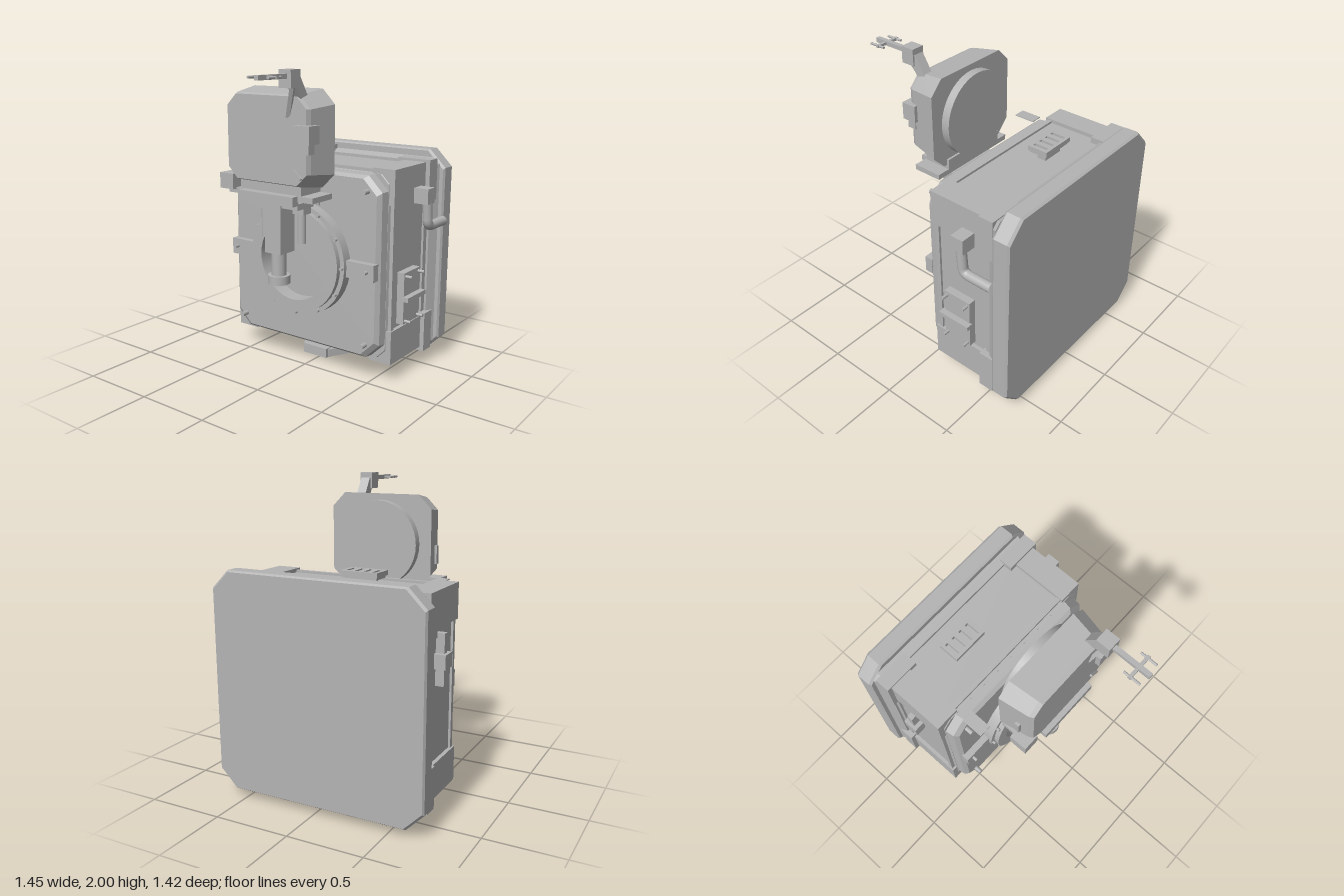
import * as THREE from 'three';

export function createModel() {
  const root = new THREE.Group();
  const metal = new THREE.MeshStandardMaterial({ color: 0xb4b4b4 });
  metal.name = 'grey metal';
  const CX = -0.02; // shared centre line of the body and head

  const add = (name, geo) => {
    const m = new THREE.Mesh(geo, metal);
    m.name = name;
    root.add(m);
    return m;
  };
  // box given by its extents
  const box = (name, x0, x1, y0, y1, z0, z1) => {
    const m = add(name, new THREE.BoxGeometry(x1 - x0, y1 - y0, z1 - z0));
    m.position.set((x0 + x1) / 2, (y0 + y1) / 2, (z0 + z1) / 2);
    return m;
  };
  // cylinder or square bar between two points
  const rod = (name, a, b, r, sides = 16, spin = 0) => {
    const p = new THREE.Vector3(...a), q = new THREE.Vector3(...b);
    const geo = new THREE.CylinderGeometry(r, r, p.distanceTo(q), sides);
    geo.rotateY(spin);
    const m = add(name, sides < 6 ? flat(geo) : geo);
    m.position.copy(p).add(q).multiplyScalar(0.5);
    m.quaternion.setFromUnitVectors(new THREE.Vector3(0, 1, 0), q.sub(p).normalize());
    return m;
  };
  function flat(geo) {
    const g = geo.toNonIndexed();
    g.computeVertexNormals();
    return g;
  }
  // loft through chamfered rectangles: [z, halfWidth, halfHeight, chamfer], back to front
  const loft = (name, cy, sections) => {
    const rings = sections.map(([z, w, h, c]) => [
      [w, -h + c], [w, h - c], [w - c, h], [-w + c, h],
      [-w, h - c], [-w, -h + c], [-w + c, -h], [w - c, -h],
    ].map(([x, y]) => [x + CX, y + cy, z]));
    const pos = [];
    const tri = (a, b, c) => pos.push(...a, ...b, ...c);
    for (let s = 0; s + 1 < rings.length; s++) {
      for (let i = 0; i < 8; i++) {
        const j = (i + 1) % 8, A = rings[s], B = rings[s + 1];
        tri(A[i], A[j], B[j]);
        tri(A[i], B[j], B[i]);
      }
    }
    const back = rings[0], front = rings[rings.length - 1];
    for (let i = 1; i < 7; i++) {
      tri(back[0], back[i + 1], back[i]);
      tri(front[0], front[i], front[i + 1]);
    }
    const g = new THREE.BufferGeometry();
    g.setAttribute('position', new THREE.Float32BufferAttribute(pos, 3));
    g.computeVertexNormals();
    return add(name, g);
  };

  // Main casing
  loft('backPlate', 0.755, [[-0.715, 0.70, 0.695, 0.115], [-0.70, 0.71, 0.705, 0.115],
    [-0.61, 0.71, 0.705, 0.115], [-0.595, 0.70, 0.695, 0.115]]);
  loft('rearCollar', 0.755, [[-0.595, 0.675, 0.655, 0.04], [-0.53, 0.645, 0.635, 0.03]]);
  loft('body', 0.76, [[-0.54, 0.615, 0.61, 0.02], [-0.13, 0.615, 0.61, 0.02], [-0.08, 0.60, 0.60, 0.06]]);
  loft('door', 0.76, [[-0.09, 0.60, 0.60, 0.10], [-0.025, 0.59, 0.595, 0.10], [0, 0.565, 0.575, 0.10]]);

  // Corner brackets, front and rear, plus rails between them
  for (const s of [-1, 1]) {
    const span = (a, b) => [CX + Math.min(s * a, s * b), CX + Math.max(s * a, s * b)];
    for (const [y0, y1] of [[1.17, 1.395], [0.125, 0.35]]) {
      box('cornerBracket', ...span(0.48, 0.64), y0, y1, -0.54, -0.085);
    }
    for (const [y0, y1] of [[1.14, 1.41], [0.10, 0.37]]) {
      box('rearBracket', ...span(0.43, 0.67), y0, y1, -0.57, -0.47);
    }
    box('sideRail', ...span(0.60, 0.63), 0.35, 1.17, -0.53, -0.49);
    box('sideRail', ...span(0.60, 0.63), 0.35, 1.17, -0.13, -0.10);
    // Door clamp and its bolts
    box('doorClamp', ...span(0.37, 0.58), 0.70, 0.81, -0.01, 0.045);
    rod('clampBolt', [CX + s * 0.53, 0.76, 0.04], [CX + s * 0.53, 0.76, 0.078], 0.012, 10);
    for (const y of [0.26, 1.26]) {
      rod('doorBolt', [CX + s * 0.5, y, -0.01], [CX + s * 0.5, y, 0.05], 0.016, 10);
    }
  }
  for (const y of [0.135, 1.365]) box('frontRail', CX - 0.49, CX + 0.49, y, y + 0.02, -0.13, -0.10);
  box('doorTab', -0.52, -0.44, 1.362, 1.368, -0.02, 0.125);

  // Round flange on the door, hollow in the middle
  const profile = [[0.27, 0], [0.38, 0], [0.38, 0.07], [0.35, 0.07], [0.35, 0.105], [0.27, 0.105], [0.27, 0]];
  for (let i = 0; i + 1 < profile.length; i++) {
    const g = new THREE.LatheGeometry([profile[i], profile[i + 1]].map((p) => new THREE.Vector2(...p)), 40);
    g.rotateX(Math.PI / 2);
    add('flangeRing', g).position.set(CX, 0.76, 0);
  }
  for (let i = 0; i < 12; i++) {
    const a = (i * Math.PI) / 6, x = CX + 0.364 * Math.cos(a), y = 0.76 + 0.364 * Math.sin(a);
    rod('flangeBolt', [x, y, 0.06], [x, y, 0.092], 0.011, 8);
  }

  // Head with round back cover
  loft('head', 1.58, [[0.15, 0.355, 0.30, 0.09], [0.34, 0.32, 0.272, 0.08], [0.367, 0.305, 0.262, 0.07]]);
  rod('headCover', [CX, 1.565, 0.095], [CX, 1.565, 0.155], 0.275, 40);
  box('headSideBlock', -0.40, -0.29, 1.24, 1.34, 0.25, 0.37);
  box('headLampBlock', 0.21, 0.33, 1.57, 1.68, 0.30, 0.40);
  box('headLampFoot', 0.25, 0.31, 1.51, 1.57, 0.32, 0.38);
  box('headSideTab', -0.37, -0.34, 1.43, 1.55, 0.26, 0.29);
  const slat = box('headSlat', 0.18, 0.26, 1.38, 1.395, 0.36, 0.38);
  slat.rotation.z = -0.7;

  // Hinge and support below the head
  box('hingePlate', CX - 0.33, CX + 0.33, 1.215, 1.25, 0.14, 0.34);
  box('hingeBlock', CX - 0.24, CX + 0.24, 1.24, 1.32, 0.135, 0.33);
  box('hingeFront', CX - 0.21, CX + 0.22, 1.19, 1.25, 0.33, 0.39);
  box('crossBar', CX - 0.19, CX + 0.19, 1.15, 1.19, 0.14, 0.30);
  box('centreColumn', CX - 0.063, CX + 0.063, 0.85, 1.22, 0.17, 0.31);
  rod('columnRod', [CX, 0.69, 0.25], [CX, 0.86, 0.25], 0.048, 20);
  rod('columnTip', [CX, 0.645, 0.25], [CX, 0.70, 0.25], 0.072, 20);
  for (const s of [-1, 1]) {
    const x = CX + s * 0.145;
    box('clevis', x - 0.042, x + 0.042, 1.11, 1.175, 0.16, 0.24);
    rod('sideCylinder', [x, 0.92, 0.20], [x, 1.15, 0.20], 0.028, 16);
    rod('hingePin', [CX + s * 0.27, 1.18, 0.2], [CX + s * 0.27, 1.22, 0.2], 0.012, 8);
  }

  // Aerial on top of the head
  box('aerialBlock', 0.16, 0.248, 1.895, 2.0, 0.37, 0.462);
  rod('aerialArm', [0.205, 1.95, 0.39], [0.205, 1.82, 0.31], 0.045, 4, Math.PI / 4);
  rod('aerialStrut', [0.22, 1.91, 0.41], [0.145, 1.72, 0.355], 0.018, 4, Math.PI / 4);
  box('aerialBoom', 0.19, 0.22, 1.948, 1.976, 0.46, 0.71);
  box('aerialCross', 0.12, 0.29, 1.955, 1.971, 0.62, 0.64);
  for (const x of [0.132, 0.276]) rod('aerialTine', [x, 1.963, 0.585], [x, 1.963, 0.695], 0.008, 8);

  // Elbow pipe on the left side
  box('pipeBlock', 0.62, 0.72, 1.15, 1.25, -0.415, -0.325);
  const bend = new THREE.CurvePath();
  const v = (y, z) => new THREE.Vector3(0.69, y, z);
  bend.add(new THREE.LineCurve3(v(1.17, -0.375), v(1.05, -0.385)));
  bend.add(new THREE.QuadraticBezierCurve3(v(1.05, -0.385), v(0.995, -0.385), v(0.995, -0.44)));
  bend.add(new THREE.LineCurve3(v(0.995, -0.44), v(0.995, -0.60)));
  add('elbowPipe', new THREE.TubeGeometry(bend, 30, 0.032, 14));

  // Access panel with a handle on the left side
  box('accessPanel', 0.58, 0.645, 0.375, 0.72, -0.39, -0.19);
  box('panelHandle', 0.64, 0.685, 0.535, 0.565, -0.405, -0.175);
  for (const y of [0.395, 0.695]) for (const z of [-0.21, -0.37]) {
    rod('panelBolt', [0.63, y, z], [0.69, y, z], 0.011, 8);
  }

  // Catch on the right side
  box('catchStrip', -0.69, -0.62, 0.82, 1.14, -0.36, -0.32);
  box('catchBlock', -0.71, -0.63, 0.93, 1.02, -0.39, -0.29);

  // Slotted vent on the top
  box('ventStem', -0.24, -0.09, 1.36, 1.43, -0.38, -0.32);
  const vent = new THREE.Shape([[0, 0], [0.245, 0], [0.245, 0.14], [0, 0.14]].map((p) => new THREE.Vector2(...p)));
  for (let i = 0; i < 4; i++) {
    const x = 0.022 + i * 0.058;
    vent.holes.push(new THREE.Path([[x, 0.022], [x, 0.118], [x + 0.022, 0.118], [x + 0.022, 0.022]]
      .map((p) => new THREE.Vector2(...p))));
  }
  const ventGeo = new THREE.ExtrudeGeometry(vent, { depth: 0.03, bevelEnabled: false });
  ventGeo.rotateX(-Math.PI / 2);
  add('ventGrille', ventGeo).position.set(-0.285, 1.435, -0.28);
  box('ventBase', -0.275, -0.05, 1.42, 1.437, -0.41, -0.29);

  // Splayed handle below the body
  box('handleGrip', CX - 0.097, CX + 0.097, 0.015, 0.08, -0.20, -0.14);
  for (const s of [-1, 1]) {
    const x = CX + s * 0.265;
    const arm = box('handleArm', -0.025, 0.025, 0.02, 0.075, -0.19, 0.19);
    arm.position.set(CX + s * 0.175, 0.047, -0.335);
    arm.rotation.y = -s * 0.5;
    box('handleFoot', x - 0.05, x + 0.05, 0, 0.07, -0.53, -0.465);
    box('handleMount', x - 0.04, x + 0.04, 0.06, 0.16, -0.52, -0.47);
  }
  box('handlePlate', CX - 0.28, CX + 0.28, 0.08, 0.10, -0.50, -0.20);
  for (const z of [-0.22, -0.28]) box('handleSlat', CX - 0.15, CX + 0.15, 0.10, 0.16, z - 0.02, z + 0.02);

  return root;
}
